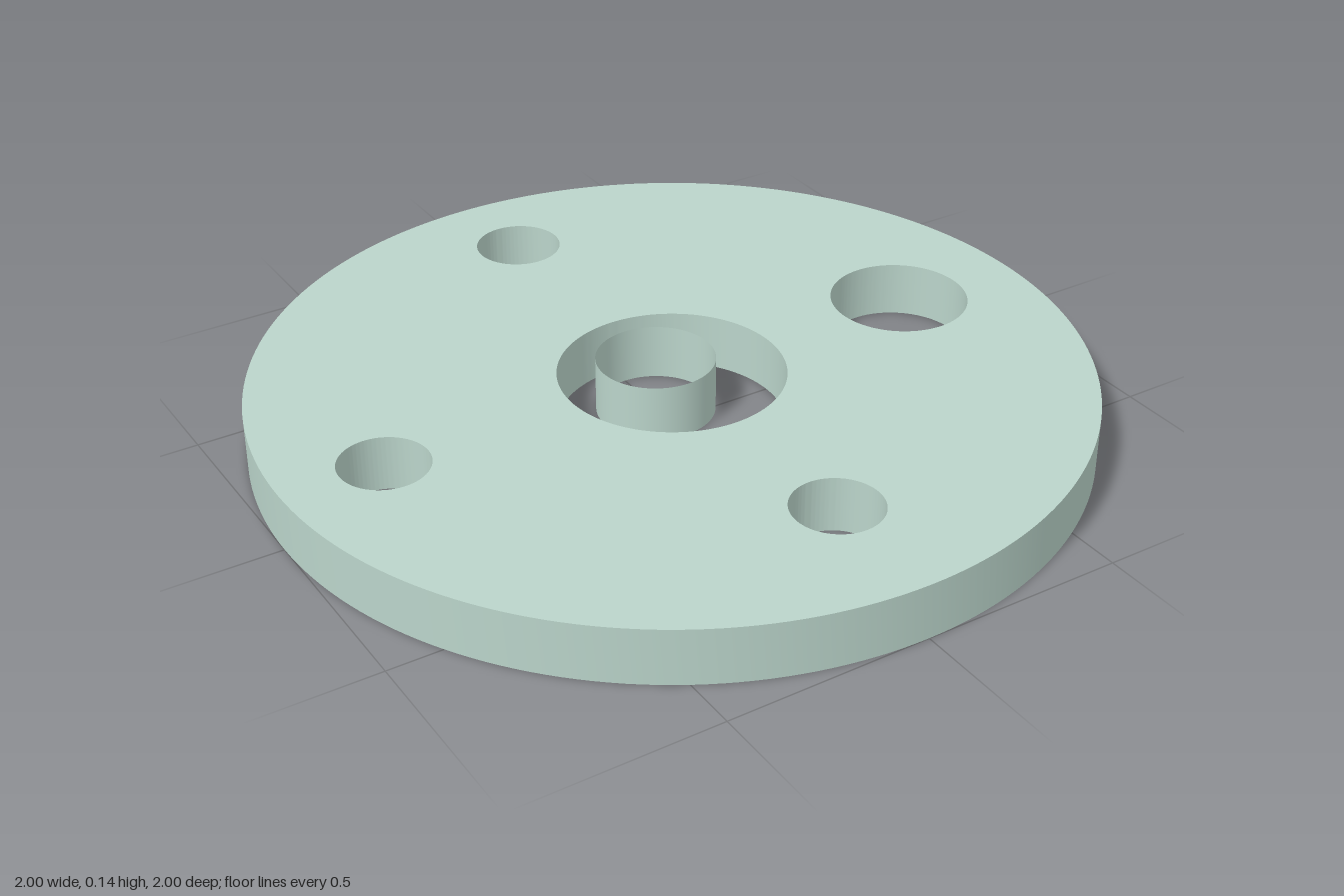
import * as THREE from 'three';
import { toCreasedNormals } from 'three/addons/utils/BufferGeometryUtils.js';

const HEIGHT = 0.139;

export function createModel() {
  const group = new THREE.Group();
  const material = new THREE.MeshStandardMaterial({ color: 0xbad4ca, side: THREE.DoubleSide });

  // Round plate pierced by a centre bore and four outer holes: [x, z, radius]
  const holes = [
    [0, 0, 0.272],
    [0.667, 0, 0.17],
    [-0.75, 0, 0.107],
    [0, -0.75, 0.107],
    [0, 0.667, 0.107],
  ];
  const outline = new THREE.Shape().absarc(0, 0, 1, 0, Math.PI * 2);
  for (const [x, z, r] of holes) {
    outline.holes.push(new THREE.Path().absarc(x, -z, r, 0, Math.PI * 2, true));
  }
  const plateGeometry = new THREE.ExtrudeGeometry(outline, {
    depth: HEIGHT, bevelEnabled: false, curveSegments: 96,
  });
  plateGeometry.rotateX(-Math.PI / 2);
  const plate = new THREE.Mesh(toCreasedNormals(plateGeometry, 0.6), material);
  plate.name = 'plate';
  group.add(plate);

  // Thin open sleeve standing off-centre in the bore
  const sleeve = new THREE.Mesh(
    new THREE.CylinderGeometry(0.144, 0.144, HEIGHT, 96, 1, true), material);
  sleeve.name = 'sleeve';
  sleeve.position.set(0, HEIGHT / 2, -0.073);
  group.add(sleeve);

  return group;
}
